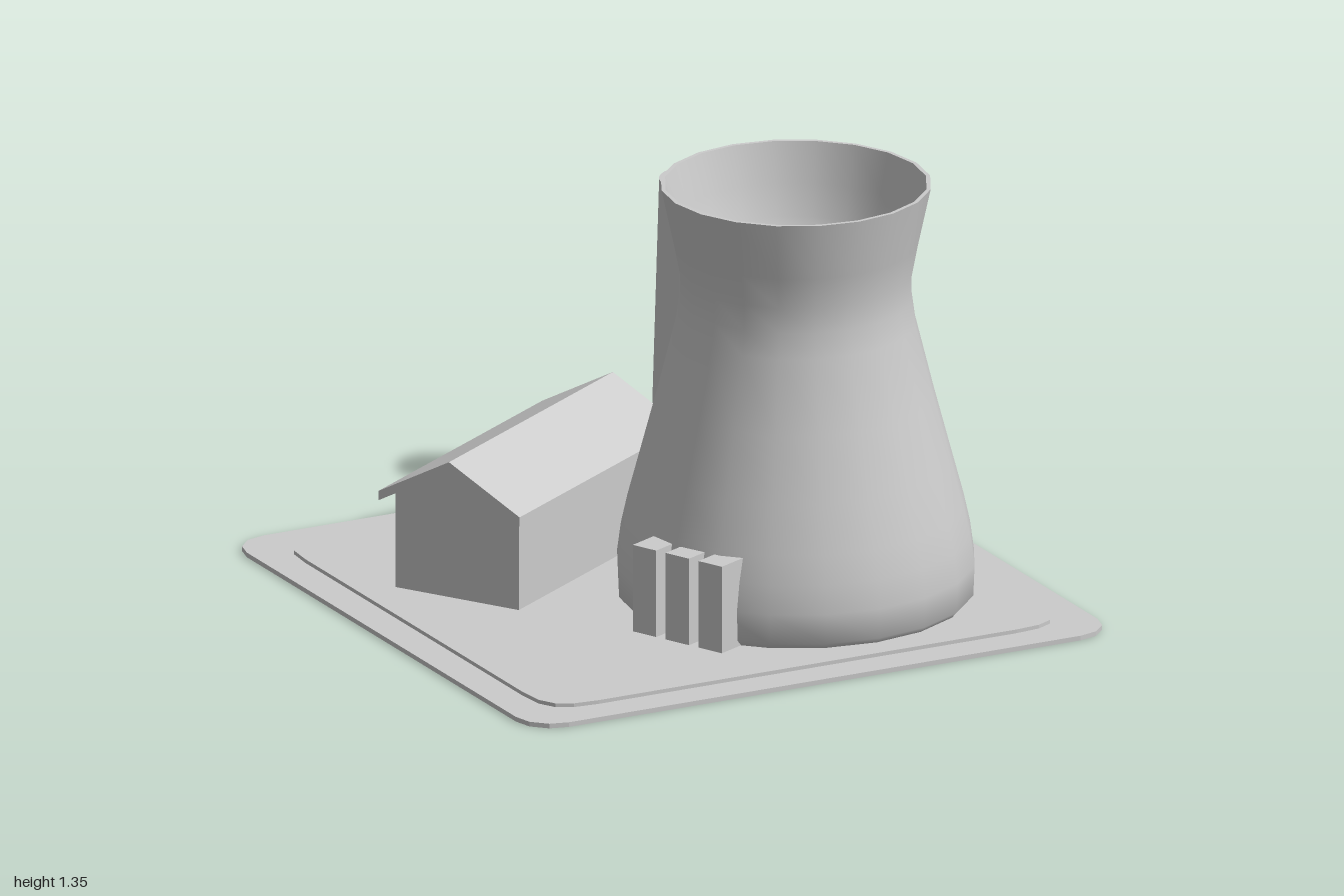
import * as THREE from 'three';
import { toCreasedNormals } from 'three/addons/utils/BufferGeometryUtils.js';

const material = new THREE.MeshStandardMaterial({ color: 0xcccccc, side: THREE.DoubleSide });
const GROUND = 0.027;

function part(name, geometry, parent) {
  const mesh = new THREE.Mesh(geometry, material);
  mesh.name = name;
  parent.add(mesh);
  return mesh;
}

const vectors = (points) => points.map(([x, y]) => new THREE.Vector2(x, y));

// Solid turned about y, smooth around but sharp at rims
function turned(points, sides) {
  return toCreasedNormals(new THREE.LatheGeometry(vectors(points), sides), 0.75);
}

// Flat slab: one corner's points mirrored into all four quadrants
function slab(corner, y0, y1) {
  const outline = [];
  for (const [sx, sy] of [[1, 1], [-1, 1], [-1, -1], [1, -1]]) {
    const pts = corner.map(([x, y]) => [x * sx, y * sy]);
    outline.push(...(sx * sy > 0 ? pts : pts.reverse()));
  }
  const geometry = new THREE.ExtrudeGeometry(new THREE.Shape(vectors(outline)), { depth: y1 - y0, bevelEnabled: false });
  return geometry.rotateX(-Math.PI / 2).translate(0, y0, 0);
}

// Gable cross-section extruded along x, centred
function gable(points, length) {
  const geometry = new THREE.ExtrudeGeometry(new THREE.Shape(vectors(points)), { depth: length, bevelEnabled: false });
  return geometry.translate(0, 0, -length / 2).rotateY(Math.PI / 2);
}

export function createModel() {
  const model = new THREE.Group();
  model.name = 'powerPlant';

  // Stepped ground plates
  part('basePlate', slab([[1, 0.88], [0.985, 0.94], [0.94, 0.985], [0.88, 1]], 0, 0.015), model);
  part('upperPlate', slab([[0.888, 0.71], [0.88, 0.8], [0.85, 0.855], [0.8, 0.88], [0.72, 0.888]], 0.015, GROUND), model);

  // Cooling tower: waisted shell, thin rim, bowl inside
  const shell = [
    [0.53, GROUND], [0.546, 0.045], [0.55, 0.14], [0.538, 0.23], [0.518, 0.32],
    [0.478, 0.47], [0.425, 0.67], [0.368, 0.9], [0.357, 0.98], [0.356, 1.06], [0.375, 1.16], [0.415, 1.345],
  ];
  const bowl = [
    [0.402, 1.345], [0.37, 1.22], [0.346, 1.12], [0.31, 1.04], [0.23, 0.97], [0.12, 0.93], [0, 0.92],
  ];
  part('coolingTower', turned([...shell, ...bowl], 20), model).position.set(0.285, 0, 0.268);

  // Two hollow chimneys
  const chimney = turned([[0.155, GROUND], [0.125, 1.055], [0.116, 1.055], [0.116, 0.04], [0, 0.04]], 32);
  for (const [x, z] of [[0.447, -0.666], [0.675, -0.436]]) {
    part('chimney', chimney, model).position.set(x, 0, z);
  }

  // Hall with an overhanging pitched roof
  const hall = new THREE.Group();
  hall.name = 'hall';
  hall.position.set(-0.275, 0, -0.4);
  hall.rotation.y = 0.558;
  model.add(hall);
  part('hallWalls', gable([[-0.217, GROUND], [0.217, GROUND], [0.217, 0.332], [0, 0.449], [-0.217, 0.332]], 0.89), hall);
  part('hallRoof', gable([[-0.249, 0.315], [0, 0.45], [0.249, 0.315], [0.249, 0.345], [0, 0.48], [-0.249, 0.345]], 0.99), hall);

  // Row of service blocks set into the tower's side
  const blocks = new THREE.Group();
  blocks.name = 'serviceBlocks';
  blocks.position.set(-0.2525, 0, 0.5145);
  blocks.rotation.y = 0.43;
  model.add(blocks);
  for (const i of [-1, 0, 1]) {
    const block = part('serviceBlock', new THREE.BoxGeometry(0.2, 0.305 - GROUND, 0.09), blocks);
    block.position.set(0.1, (0.305 + GROUND) / 2, i * 0.126);
  }

  return model;
}
